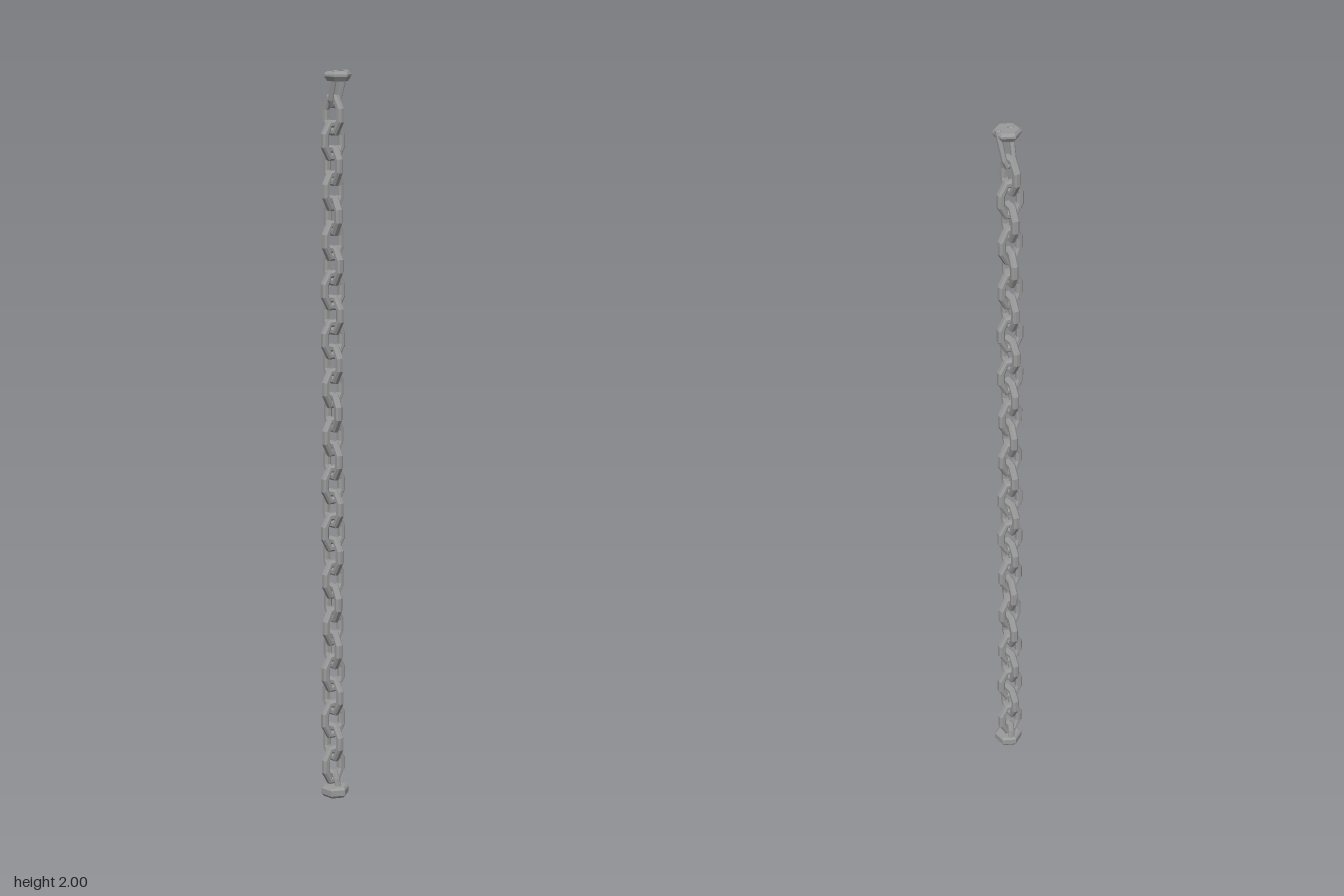
import * as THREE from 'three';

const steel = new THREE.MeshStandardMaterial({ color: 0x9a9a9a, flatShading: true });
const PITCH = 0.0664, TWIST = 0.22, AXIS_X = -0.003, AXIS_Z = -0.012;

// Flat bar stock cut from an outline, with narrow chamfers
function bar(shape, thick) {
  const c = 0.005;
  const g = new THREE.ExtrudeGeometry(shape, {
    depth: thick - 2 * c, bevelEnabled: true, bevelThickness: c,
    bevelSize: c, bevelOffset: -c, bevelSegments: 1,
  });
  return g.translate(0, 0, -(thick - 2 * c) / 2);
}

// Eight-cornered oval: side corners at (w, s), end corners at (e, h)
function octagon(w, s, e, h) {
  return [[w, -s], [w, s], [e, h], [-e, h], [-w, s], [-w, -s], [-e, -h], [e, -h]]
    .map(([x, y]) => new THREE.Vector2(x, y));
}

function linkGeometry() {
  const shape = new THREE.Shape(octagon(0.036, 0.018, 0.016, 0.053));
  shape.holes.push(new THREE.Path(octagon(0.017, 0.013, 0.008, 0.034)));
  return bar(shape, 0.02);
}

// U-shaped bar, closed at y = 0 with two legs spreading upward
function shackleGeometry(height) {
  const pts = [[0.011, 0], [0.02, 0.02], [0.026, height], [0.012, height], [0.008, 0.026], [0.005, 0.018]];
  const mirrored = pts.map(([x, y]) => [-x, y]).reverse();
  return bar(new THREE.Shape([...pts, ...mirrored].map(([x, y]) => new THREE.Vector2(x, y))), 0.018);
}

// Six-sided fixing plate turned from a profile of [radius, y]
function plateGeometry(profile) {
  return new THREE.LatheGeometry(profile.map(([r, y]) => new THREE.Vector2(r, y)), 6);
}

export function createModel() {
  const model = new THREE.Group();
  const add = (name, geometry, x, y, z) => {
    const mesh = new THREE.Mesh(geometry, steel);
    mesh.name = name;
    mesh.position.set(x, y, z);
    mesh.rotation.order = 'YXZ';
    model.add(mesh);
    return mesh;
  };

  // Chain: neighbouring links are a quarter turn apart, each hanging slightly askew
  const chain = new THREE.Group();
  chain.name = 'chain';
  model.add(chain);
  const link = linkGeometry();
  for (let i = 0; i < 28; i++) {
    const mesh = add('link', link, AXIS_X, 0.087 + i * PITCH, AXIS_Z);
    mesh.rotation.y = TWIST + (i % 2) * Math.PI / 2 + 0.12 * Math.sin(i * 2.4);
    chain.add(mesh);
  }

  // Top shackle leans forward, its leg ends showing through the plate
  const top = add('topShackle', shackleGeometry(0.102), AXIS_X, 1.9, AXIS_Z);
  top.rotation.set(0.3, 0.27, 0);

  // Bottom shackle stands in the lower plate
  const bottom = add('bottomShackle', shackleGeometry(0.06), AXIS_X, 0.07, AXIS_Z);
  bottom.rotation.set(-0.1, TWIST + Math.PI / 2, Math.PI);

  // Plates
  const turn = Math.PI / 2 - 0.2;
  add('topPlate', plateGeometry([[0, 0], [0.028, 0], [0.037, 0.012], [0.037, 0.018], [0.031, 0.025], [0, 0.025]]),
    -0.004, 1.97, 0.018).rotation.y = turn;
  add('bottomPlate', plateGeometry([[0, 0], [0.033, 0], [0.039, 0.007], [0.039, 0.023], [0.033, 0.029], [0, 0.029]]),
    0, 0, -0.005).rotation.y = turn;

  return model;
}
